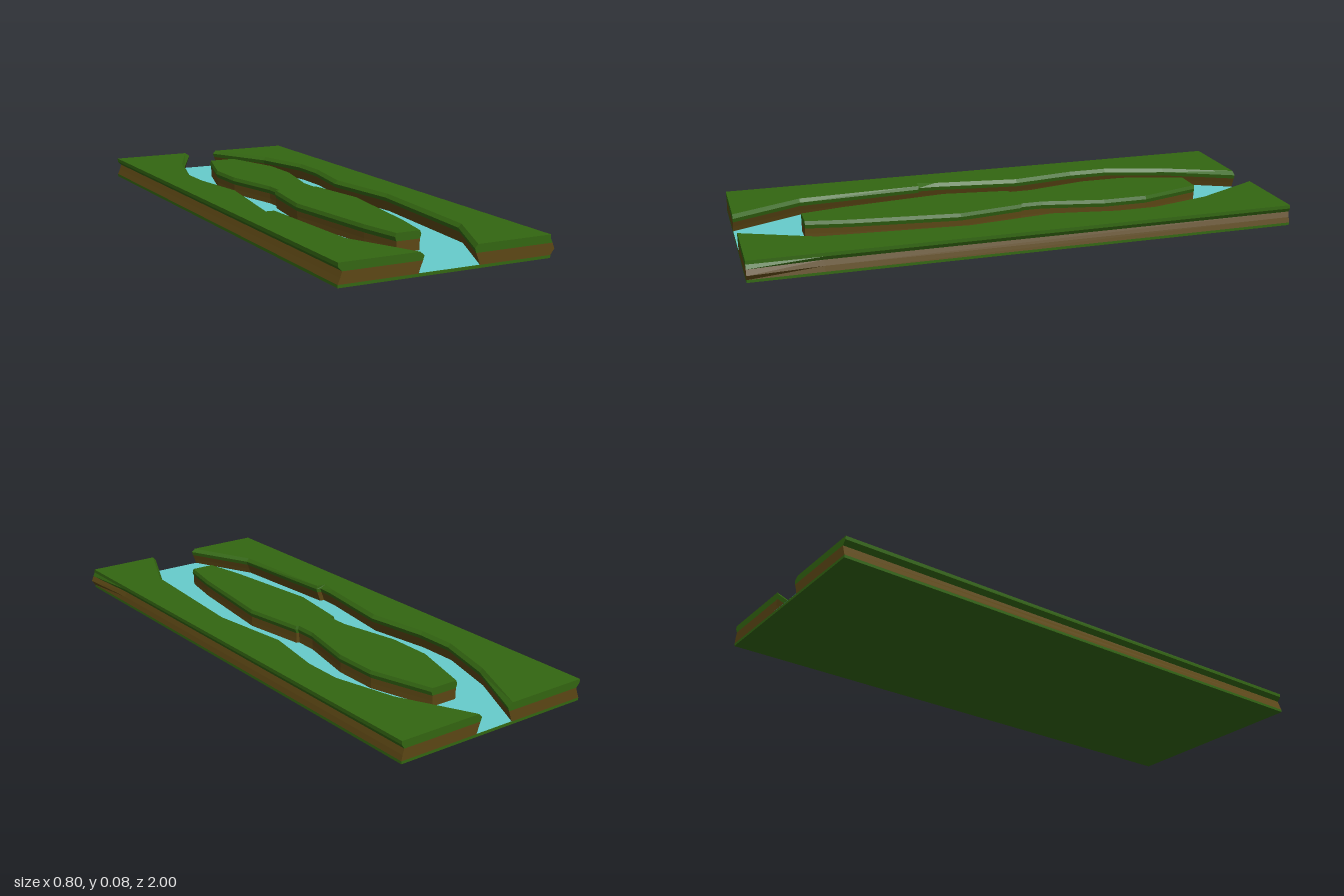
import * as THREE from 'three';

const GRASS = 0x336611, EARTH = 0x5c4714, WATER = 0x66cccc;
const material = color => new THREE.MeshStandardMaterial({ color, flatShading: true, side: THREE.DoubleSide });

// Heights of the stacked outlines: foot, belly, waist, lip, top
const LEVELS = [0.01, 0.03, 0.05, 0.065, 0.078];

// Skin a stack of outlines ([x, z] points) and optionally cap the highest one
function loft(name, rings, heights, color, cap) {
  const pos = [];
  const put = (p, y) => pos.push(p[0], y, p[1]);
  const flat = r => r.map(p => new THREE.Vector2(p[0], -p[1]));
  if (THREE.ShapeUtils.area(flat(rings[0])) < 0) rings = rings.map(r => [...r].reverse());
  for (let k = 0; k + 1 < rings.length; k++) {
    const lo = rings[k], hi = rings[k + 1], y0 = heights[k], y1 = heights[k + 1];
    lo.forEach((a, i) => {
      const j = (i + 1) % lo.length;
      put(a, y0); put(lo[j], y0); put(hi[j], y1);
      put(a, y0); put(hi[j], y1); put(hi[i], y1);
    });
  }
  const top = rings[rings.length - 1], yTop = heights[rings.length - 1];
  if (cap) {
    for (const tri of THREE.ShapeUtils.triangulateShape(flat(top), [])) tri.forEach(i => put(top[i], yTop));
  }
  const geo = new THREE.BufferGeometry();
  geo.setAttribute('position', new THREE.Float32BufferAttribute(pos, 3));
  geo.computeVertexNormals();
  const mesh = new THREE.Mesh(geo, material(color));
  mesh.name = name;
  return mesh;
}

// Earth below, grass layer above
function raisedLand(name, rings) {
  const group = new THREE.Group();
  group.name = name;
  group.add(
    loft(name + 'Earth', rings.slice(0, 3), LEVELS.slice(0, 3), EARTH, false),
    loft(name + 'Grass', rings.slice(2), LEVELS.slice(2), GRASS, true),
  );
  return group;
}

// River edges at lip height: [x, z, optional setback of the top edge]
const RIGHT_EDGE = [
  [-0.065, -1, 0.02], [-0.19, -0.74], [-0.255, -0.51], [-0.255, -0.36], [-0.22, -0.12],
  [-0.265, 0.2], [-0.268, 0.27, 0.027], [-0.25, 0.273, 0.005], [-0.22, 0.74], [-0.1, 1, 0.015],
];
const LEFT_EDGE = [
  [0.05, -1], [0.18, -0.74], [0.24, -0.51], [0.24, -0.36], [0.2, -0.12],
  [0.24, 0.2], [0.2, 0.74], [0.085, 1],
];
// Setback of the river wall at each level
const SETBACK = [0.02, 0.013, 0.005, 0, 0.012];

const riverLine = (edge, side, k) =>
  edge.map(([x, z, top]) => [x + side * (k === 4 && top !== undefined ? top : SETBACK[k]), z]);

export function createModel() {
  const model = new THREE.Group();
  model.name = 'riverTile';

  // Base slab
  const slab = new THREE.Mesh(new THREE.BoxGeometry(0.78, 0.01, 2), material(GRASS));
  slab.name = 'baseSlab';
  slab.position.set(-0.01, 0.005, 0);
  model.add(slab);

  // Water surface between the feet of the banks
  const outline = [...riverLine(RIGHT_EDGE, -1, 0), ...riverLine(LEFT_EDGE, 1, 0).reverse()];
  model.add(loft('water', [outline], [0.011], WATER, true));

  // Banks: the outer wall is pinched under the grass
  const rightOuter = [-0.4, -0.392, -0.385, -0.4, -0.4];
  const leftOuter = [0.38, 0.376, 0.37, 0.38, 0.38];
  const leftCorner = [0.38, 0.395, 0.387, 0.38, 0.38];
  model.add(raisedLand('rightBank', LEVELS.map((_, k) => [
    ...riverLine(RIGHT_EDGE, -1, k), [rightOuter[k], 1], [rightOuter[k], -1],
  ])));
  model.add(raisedLand('leftBank', LEVELS.map((_, k) => [
    ...riverLine(LEFT_EDGE, 1, k), [leftCorner[k], 1], [leftOuter[k], 0.74], [leftOuter[k], -1],
  ])));

  // Long island with a narrow waist: [z, right x, left x]
  const sections = [
    [-0.765, -0.063, 0.052], [-0.53, -0.133, 0.122], [-0.36, -0.133, 0.122], [-0.13, -0.084, 0.074],
    [-0.047, -0.084, 0.074], [-0.044, -0.1, 0.084], [0.2, -0.134, 0.12], [0.6, -0.087, 0.073], [0.758, -0.057, 0.043],
  ];
  const inset = [0.006, 0.006, 0.005, 0, 0.005];
  model.add(raisedLand('island', LEVELS.map((_, k) => [
    ...sections.map(([z, r]) => [r + inset[k], z]),
    ...sections.map(([z, , l]) => [l - inset[k], z]).reverse(),
  ])));

  return model;
}
